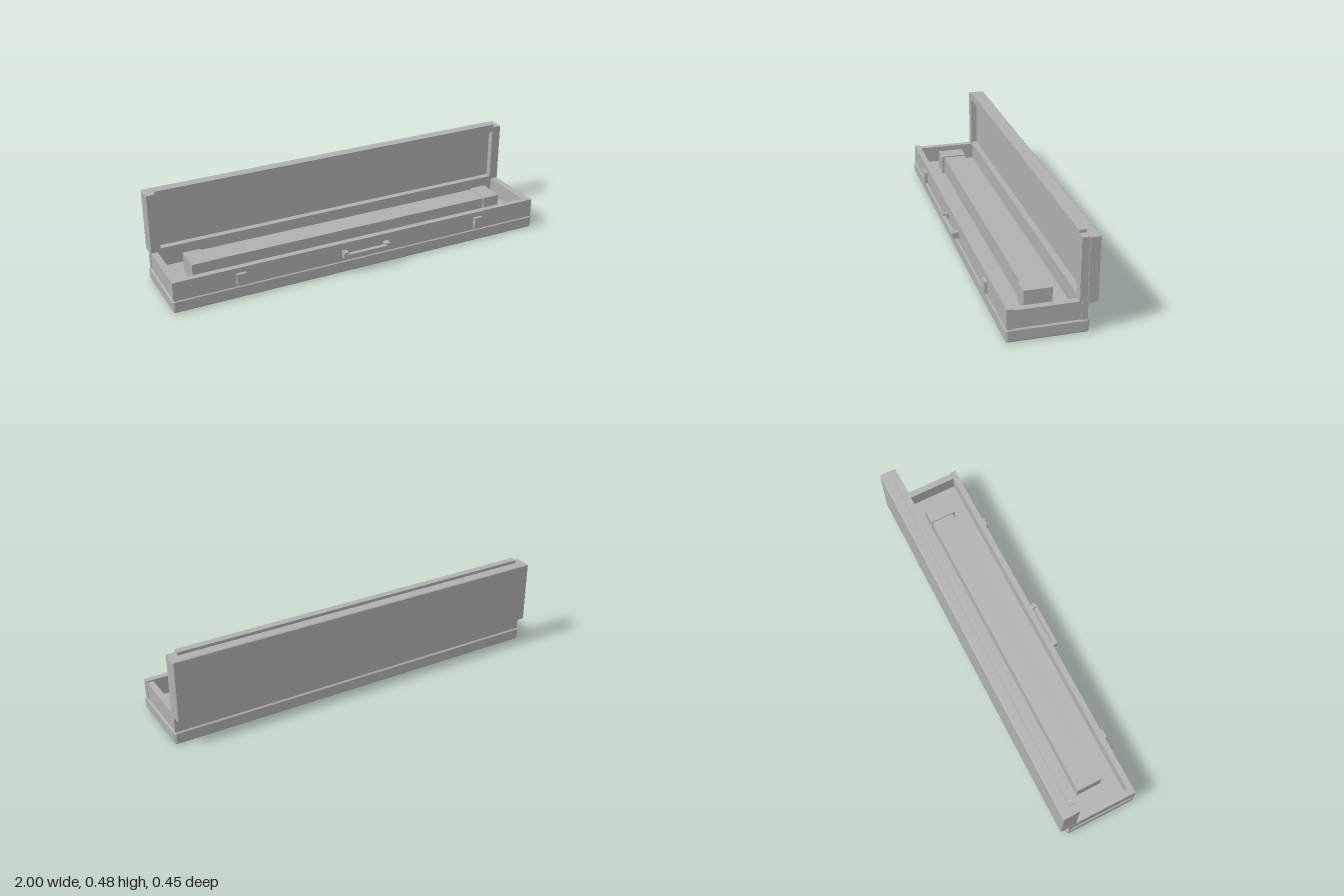
import * as THREE from 'three';
import { ConvexGeometry } from 'three/addons/geometries/ConvexGeometry.js';

export function createModel() {
  const model = new THREE.Group();
  model.name = 'hingedCase';
  const grey = new THREE.MeshStandardMaterial({ color: 0xb0b0b0 });
  grey.name = 'plain grey';

  const add = (name, geometry) => {
    const mesh = new THREE.Mesh(geometry, grey);
    mesh.name = name;
    model.add(mesh);
  };

  // Box given by its limits on each axis
  const box = (name, x0, x1, y0, y1, z0, z1) => {
    const g = new THREE.BoxGeometry(x1 - x0, y1 - y0, z1 - z0);
    g.translate((x0 + x1) / 2, (y0 + y1) / 2, (z0 + z1) / 2);
    add(name, g);
  };

  // Box with every edge cut by a flat chamfer
  const chamferBox = (name, x0, x1, y0, y1, z0, z1, c) => {
    const half = [(x1 - x0) / 2, (y1 - y0) / 2, (z1 - z0) / 2];
    const points = [];
    for (const sx of [-1, 1]) for (const sy of [-1, 1]) for (const sz of [-1, 1]) {
      for (let full = 0; full < 3; full++) {
        const h = half.map((v, i) => (i === full ? v : v - c));
        points.push(new THREE.Vector3(sx * h[0], sy * h[1], sz * h[2]));
      }
    }
    const g = new ConvexGeometry(points);
    g.translate((x0 + x1) / 2, (y0 + y1) / 2, (z0 + z1) / 2);
    add(name, g);
  };

  // Lower tray
  chamferBox('baseTray', -1, 1, 0, 0.067, -0.185, 0.195, 0.008);

  // Walls of the case
  box('frontWall', -0.995, 0.995, 0.06, 0.162, 0.16, 0.19);
  box('backWall', -0.995, 0.995, 0.06, 0.155, -0.178, -0.15);
  for (const s of [-1, 1]) {
    const ends = [s * 0.96, s * 0.993].sort((a, b) => a - b);
    box('endWall', ends[0], ends[1], 0.06, 0.155, -0.15, 0.16);
  }

  // Upright lid: outer panel, frame around the recess, closing lip
  chamferBox('lidPanel', -0.995, 0.995, 0.143, 0.463, -0.225, -0.172, 0.004);
  const frame = new THREE.Shape();
  frame.moveTo(-0.993, 0.155).lineTo(0.993, 0.155).lineTo(0.993, 0.463).lineTo(-0.993, 0.463).closePath();
  const opening = new THREE.Path();
  opening.moveTo(-0.945, 0.172).lineTo(-0.945, 0.436).lineTo(0.945, 0.436).lineTo(0.945, 0.172).closePath();
  frame.holes.push(opening);
  const frameGeometry = new THREE.ExtrudeGeometry(frame, { depth: 0.036, bevelEnabled: false });
  frameGeometry.translate(0, 0, -0.176);
  add('lidFrame', frameGeometry);
  box('lidLip', -0.95, 0.95, 0.46, 0.478, -0.175, -0.14);

  // Long bar with end blocks inside the case
  box('innerBar', -0.77, 0.77, 0.06, 0.161, -0.058, 0.063);
  for (const s of [-1, 1]) {
    const x = s * 0.815;
    box('innerEndBlock', x - 0.045, x + 0.045, 0.06, 0.167, -0.06, 0.075);
  }

  // Latches and carrying handle
  for (const s of [-1, 1]) {
    const latchX = s * 0.658, postX = s * 0.115;
    box('latch', latchX - 0.024, latchX + 0.024, 0.073, 0.135, 0.185, 0.206);
    box('handlePost', postX - 0.0125, postX + 0.0125, 0.09, 0.123, 0.185, 0.222);
  }
  box('handleGrip', -0.115, 0.115, 0.099, 0.113, 0.206, 0.227);

  return model;
}
